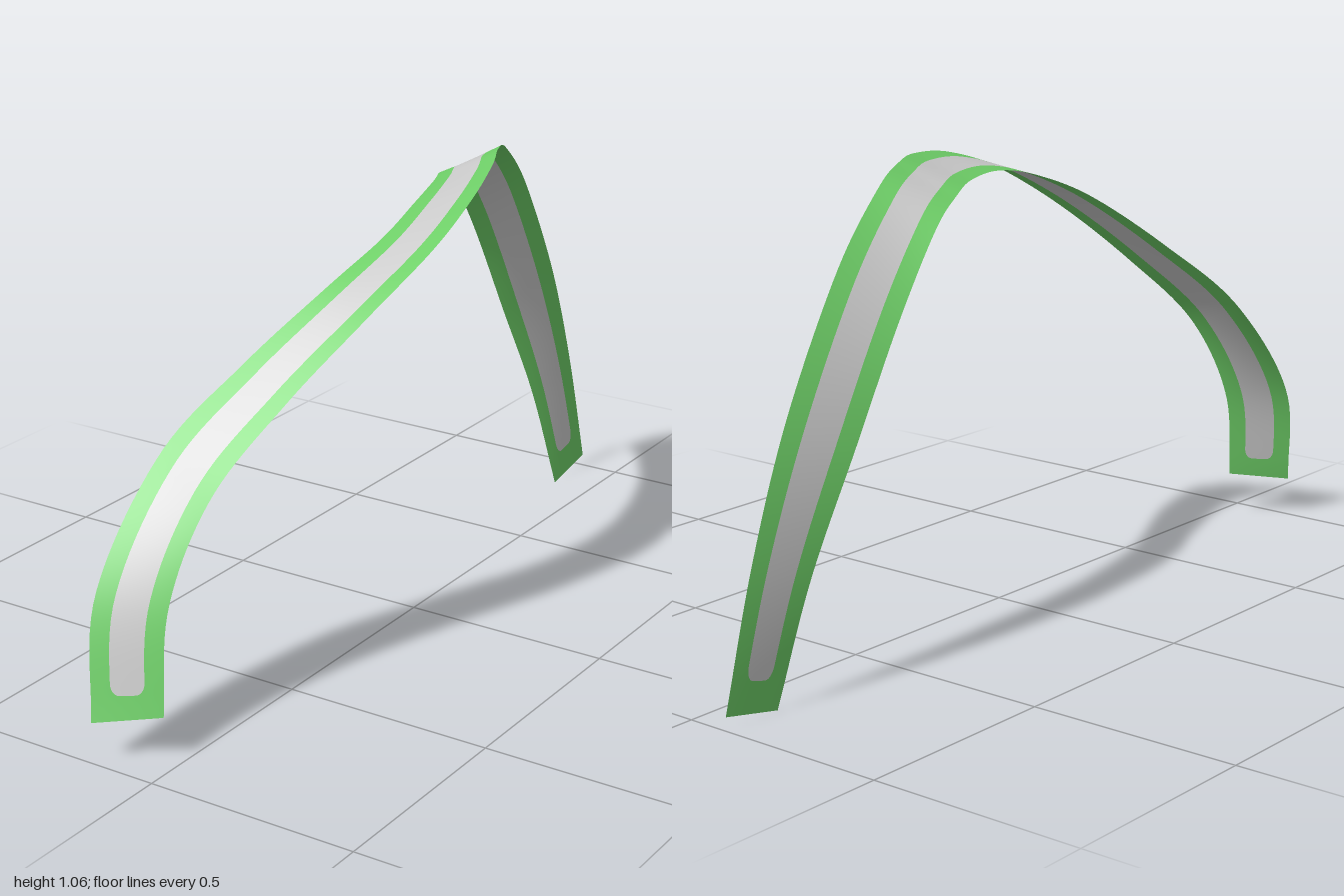
import * as THREE from 'three';

// Matching points along the two long edges of the ribbon, from front end to back end
const edgeA = [
  [-0.155, 0.095, 1.0], [-0.19, 0.35, 0.925], [-0.165, 0.6, 0.73], [-0.075, 0.765, 0.55],
  [0.015, 0.9, 0.37], [0.045, 0.97, 0.2], [0.02, 1.005, 0.03], [-0.03, 1.01, -0.13],
  [-0.085, 0.995, -0.25], [-0.13, 0.94, -0.375], [-0.16, 0.77, -0.53], [-0.155, 0.53, -0.66],
  [-0.13, 0.27, -0.775], [-0.1, 0, -0.85],
];
const edgeB = [
  [-0.03, 0.105, 0.915], [-0.05, 0.33, 0.86], [-0.02, 0.54, 0.745], [0.055, 0.71, 0.58],
  [0.14, 0.86, 0.41], [0.19, 0.975, 0.22], [0.165, 1.035, 0.02], [0.105, 1.06, -0.165],
  [0.045, 1.06, -0.29], [-0.01, 1.025, -0.42], [-0.065, 0.885, -0.61], [-0.09, 0.61, -0.795],
  [-0.1, 0.33, -0.915], [-0.1, 0.03, -1.0],
];
const toCurve = (pts) =>
  new THREE.CatmullRomCurve3(pts.map((p) => new THREE.Vector3(...p)), false, 'catmullrom', 0.5);
const curveA = toCurve(edgeA);
const curveB = toCurve(edgeB);

// Point on the ribbon: u runs across, v runs along
const point = (u, v) => curveA.getPoint(v).lerp(curveB.getPoint(v), u);

function normal(u, v) {
  const v0 = Math.max(0, v - 0.002), v1 = Math.min(1, v + 0.002);
  const across = point(1, v).sub(point(0, v));
  return across.cross(point(u, v1).sub(point(u, v0))).normalize();
}

// Band of the ribbon between two u limits; each row is { v, half }
function band(name, rows, lo, hi, material) {
  const cols = 4, positions = [], normals = [], index = [];
  rows.forEach((row, i) => {
    for (let j = 0; j <= cols; j++) {
      const u = THREE.MathUtils.lerp(lo(row.half), hi(row.half), j / cols);
      positions.push(...point(u, row.v).toArray());
      normals.push(...normal(u, row.v).toArray());
      if (i > 0 && j > 0) {
        const d = i * (cols + 1) + j, c = d - 1, b = d - cols - 1, a = b - 1;
        index.push(a, b, d, a, d, c);
      }
    }
  });
  const geometry = new THREE.BufferGeometry();
  geometry.setAttribute('position', new THREE.Float32BufferAttribute(positions, 3));
  geometry.setAttribute('normal', new THREE.Float32BufferAttribute(normals, 3));
  geometry.setIndex(index);
  const mesh = new THREE.Mesh(geometry, material);
  mesh.name = name;
  return mesh;
}

export function createModel() {
  const green = new THREE.MeshStandardMaterial({ color: 0x6fd068, side: THREE.DoubleSide });
  green.name = 'green';
  const grey = new THREE.MeshStandardMaterial({ color: 0xcccccc, side: THREE.DoubleSide });
  grey.name = 'light grey';

  // Stripe outline: constant half width with rounded corners at both ends
  const start = 0.016, end = 0.982, half = 0.235, cornerU = 0.12, cornerV = 0.008;
  const stripe = [];
  const corner = (k) => half - cornerU + cornerU * Math.sin(k * Math.PI / 2);
  for (let i = 0; i <= 6; i++) {
    const k = i / 6;
    stripe.push({ v: start + cornerV * (1 - Math.cos(k * Math.PI / 2)), half: corner(k) });
  }
  const from = start + cornerV, to = end - cornerV;
  for (let i = 1; i < 120; i++) stripe.push({ v: from + (to - from) * i / 120, half });
  for (let i = 6; i >= 0; i--) {
    const k = i / 6;
    stripe.push({ v: end - cornerV * (1 - Math.cos(k * Math.PI / 2)), half: corner(k) });
  }

  // Borders continue past the stripe and close around its ends
  const border = [{ v: 0, half: 0 }, { v: start, half: 0 }, ...stripe,
    { v: end, half: 0 }, { v: 1, half: 0 }];

  const model = new THREE.Group();
  model.name = 'twistedRibbon';
  model.add(
    band('rightBorder', border, () => 0, (h) => 0.5 - h, green),
    band('centreStripe', stripe, (h) => 0.5 - h, (h) => 0.5 + h, grey),
    band('leftBorder', border, (h) => 0.5 + h, () => 1, green),
  );
  return model;
}
